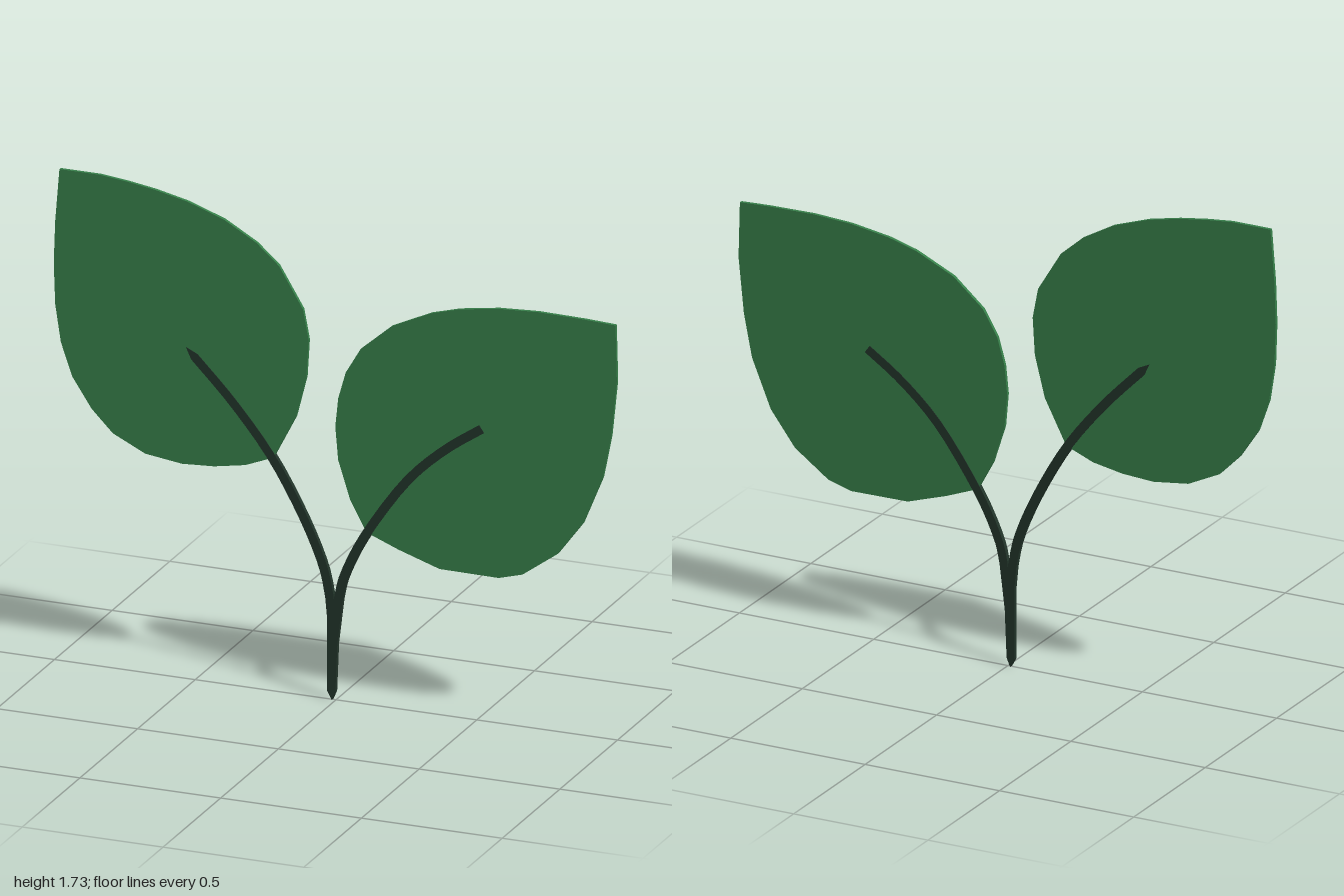
import * as THREE from 'three';

const leafMaterial = new THREE.MeshStandardMaterial({ color: 0x37804a });
const stemMaterial = new THREE.MeshStandardMaterial({ color: 0x22352a });

// Flat plate cut from an outline, centred on z = 0
function plate(name, points, thickness, material) {
  const shape = new THREE.Shape(points);
  const geometry = new THREE.ExtrudeGeometry(shape, { depth: thickness, bevelEnabled: false });
  geometry.translate(0, 0, -thickness / 2);
  const mesh = new THREE.Mesh(geometry, material);
  mesh.name = name;
  return mesh;
}

const toPoints = (list) => list.map(([x, y]) => new THREE.Vector2(x, y));

// Both edges of a band of even width that follows a smooth centre line
function bandEdges(centre, halfWidth, steps = 18) {
  const curve = new THREE.SplineCurve(toPoints(centre));
  const left = [], right = [];
  for (let i = 0; i <= steps; i++) {
    const p = curve.getPoint(i / steps);
    const t = curve.getTangent(i / steps);
    const side = new THREE.Vector2(-t.y, t.x).multiplyScalar(halfWidth);
    left.push(p.clone().add(side));
    right.push(p.clone().sub(side));
  }
  return { left, right };
}

export function createModel() {
  const group = new THREE.Group();
  group.name = 'sprout';

  // Taller leaf, its tip at the upper outer corner
  const tallLeaf = toPoints([
    [-0.98, 1.725], [-0.835, 1.725], [-0.74, 1.715], [-0.64, 1.70], [-0.525, 1.675],
    [-0.395, 1.63], [-0.28, 1.565], [-0.2, 1.495], [-0.115, 1.355], [-0.095, 1.25],
    [-0.103, 1.12], [-0.14, 0.975], [-0.22, 0.82], [-0.32, 0.78], [-0.43, 0.76],
    [-0.545, 0.753], [-0.675, 0.77], [-0.79, 0.825], [-0.865, 0.9], [-0.935, 1.005],
    [-0.975, 1.12], [-0.995, 1.25], [-1, 1.395], [-0.995, 1.54],
  ]);
  group.add(plate('rightLeaf', tallLeaf, 0.012, leafMaterial));

  // Lower leaf
  const lowLeaf = toPoints([
    [0.995, 1.455], [0.89, 1.46], [0.72, 1.463], [0.58, 1.455], [0.44, 1.433],
    [0.34, 1.405], [0.2, 1.34], [0.09, 1.245], [0.037, 1.155], [0.01, 1.06],
    [0, 0.96], [0.01, 0.845], [0.053, 0.71], [0.11, 0.605], [0.225, 0.56],
    [0.37, 0.513], [0.58, 0.511], [0.665, 0.535], [0.79, 0.625], [0.88, 0.745],
    [0.95, 0.915], [0.98, 1.065], [1, 1.26],
  ]);
  group.add(plate('leftLeaf', lowLeaf, 0.012, leafMaterial));

  // Forked stem: one outline around the stalk and both branches
  const tallBranch = bandEdges([
    [-0.02, 0.36], [-0.045, 0.47], [-0.115, 0.63], [-0.225, 0.82], [-0.36, 0.99], [-0.5, 1.135],
  ], 0.0155);
  const lowBranch = bandEdges([
    [0.012, 0.36], [0.035, 0.45], [0.11, 0.6], [0.25, 0.8], [0.385, 0.93], [0.52, 1.025],
  ], 0.0155);
  const stem = [
    ...toPoints([[-0.028, 0.03], [-0.012, 0], [0.001, 0.03], [0.008, 0.2]]),
    ...lowBranch.right,
    ...lowBranch.left.reverse(),
    ...toPoints([[-0.004, 0.325]]),
    ...tallBranch.right,
    ...toPoints([[-0.53, 1.165]]),
    ...tallBranch.left.reverse(),
    ...toPoints([[-0.028, 0.28]]),
  ];
  group.add(plate('stem', stem, 0.016, stemMaterial));

  return group;
}
